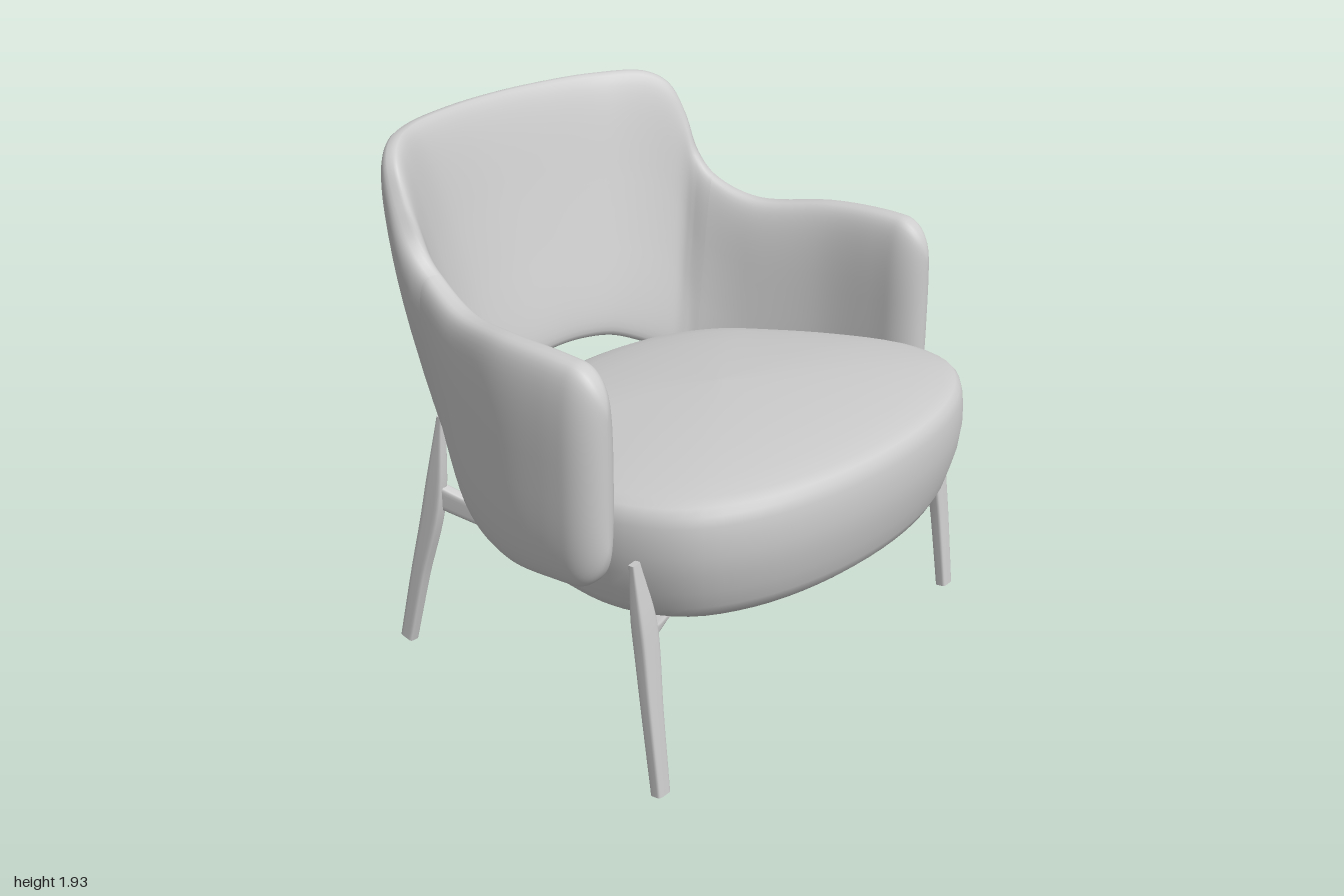
import * as THREE from 'three';

const V = (x, y, z) => new THREE.Vector3(x, y, z);
const grey = new THREE.MeshStandardMaterial({ color: 0xcccccc });
grey.name = 'light grey';

// Closed skin over a list of rings, with separate end caps
function loft(rings) {
  const n = rings[0].length, pos = [], idx = [];
  const push = (p) => pos.push(p.x, p.y, p.z);
  rings.forEach((r) => r.forEach(push));
  for (let i = 0; i < rings.length - 1; i++) {
    for (let j = 0; j < n; j++) {
      const k = (j + 1) % n, a = i * n, b = a + n;
      idx.push(a + j, a + k, b + k, a + j, b + k, b + j);
    }
  }
  [rings[0], rings[rings.length - 1]].forEach((r, end) => {
    const base = pos.length / 3;
    r.forEach(push);
    push(r.reduce((s, p) => s.add(p), V(0, 0, 0)).divideScalar(n));
    for (let j = 0; j < n; j++) {
      const k = (j + 1) % n;
      idx.push(base + n, base + (end ? j : k), base + (end ? k : j));
    }
  });
  // Turn the faces outward by the sign of the enclosed volume
  let volume = 0;
  const at = (i) => V(pos[3 * i], pos[3 * i + 1], pos[3 * i + 2]);
  for (let i = 0; i < idx.length; i += 3) {
    volume += at(idx[i]).dot(at(idx[i + 1]).cross(at(idx[i + 2])));
  }
  if (volume < 0) idx.reverse();
  const g = new THREE.BufferGeometry();
  g.setAttribute('position', new THREE.Float32BufferAttribute(pos, 3));
  g.setIndex(idx);
  g.computeVertexNormals();
  return g;
}

// Superellipse ring spanned by two half axes; bow bends it towards u
function ring(c, u, v, power, count, bow = 0) {
  const f = (t) => Math.sign(t) * Math.pow(Math.abs(t), 2 / power);
  return Array.from({ length: count }, (_, j) => {
    const a = ((j + 0.5) / count) * Math.PI * 2, h = f(Math.sin(a));
    return c.clone().addScaledVector(u, f(Math.cos(a)) + bow * (1 - h * h)).addScaledVector(v, h);
  });
}

// Bar along stations [x, y, z, halfWidth, halfDepth]; ref is the width direction
function bar(stations, ref, side) {
  const path = new THREE.CatmullRomCurve3(stations.map((s) => V(s[0] * side, s[1], s[2])));
  const size = new THREE.CatmullRomCurve3(stations.map((s) => V(s[3], s[4], 0)));
  const rings = [], N = 18;
  for (let i = 0; i <= N; i++) {
    const t = path.getTangent(i / N), s = size.getPoint(i / N);
    const u = ref.clone().addScaledVector(t, -ref.dot(t)).normalize();
    const v = t.clone().cross(u);
    rings.push(ring(path.getPoint(i / N), u.multiplyScalar(s.x), v.multiplyScalar(s.y), 5, 20));
  }
  return loft(rings);
}

// Shell stations, arm front to middle of back: top xyz, bottom xyz, half thickness, bow
const half = [
  [0.91, 1.46, 0.46, 0.915, 0.71, 0.46, 0.085, 0],
  [0.91, 1.475, 0.25, 0.912, 0.685, 0.25, 0.088, 0],
  [0.89, 1.472, 0.03, 0.88, 0.66, 0.03, 0.088, 0],
  [0.80, 1.45, -0.27, 0.765, 0.67, -0.25, 0.082, 0],
  [0.76, 1.52, -0.45, 0.64, 0.74, -0.43, 0.072, 0.1],
  [0.76, 1.60, -0.53, 0.60, 0.77, -0.47, 0.07, 0.2],
  [0.76, 1.74, -0.595, 0.56, 0.80, -0.505, 0.068, 0.3],
  [0.73, 1.86, -0.66, 0.50, 0.84, -0.54, 0.068, 0.35],
  [0.66, 1.91, -0.725, 0.43, 0.88, -0.57, 0.068, 0.4],
  [0.48, 1.918, -0.835, 0.30, 0.935, -0.605, 0.07, 0.4],
  [0.23, 1.918, -0.9, 0.15, 0.96, -0.63, 0.07, 0.4],
  [0, 1.918, -0.918, 0, 0.968, -0.635, 0.07, 0.4],
];
const mirrored = half.slice(0, -1).reverse().map(([x, y, z, u, ...rest]) => [-x, y, z, -u, ...rest]);
const full = [...half, ...mirrored];
const curve = (f) => new THREE.CatmullRomCurve3(full.map(f));
const topEdge = curve((s) => V(s[0], s[1], s[2]));
const lowEdge = curve((s) => V(s[3], s[4], s[5]));
const section = curve((s, i) => V(s[6], i, s[7]));
const seam = 4 / (full.length - 1);

function shellRing(t) {
  const mid = (q) => topEdge.getPoint(q).add(lowEdge.getPoint(q)).multiplyScalar(0.5);
  const c = mid(t);
  const along = mid(Math.min(1, t + 0.002)).sub(mid(Math.max(0, t - 0.002)));
  const up = topEdge.getPoint(t).sub(lowEdge.getPoint(t)).multiplyScalar(0.5);
  const out = along.cross(up).normalize();
  // Round off the free front end of each arm
  const d = c.z > 0 ? Math.min(1, Math.max(0, (0.46 - c.z) / 0.12)) : 1;
  const f = Math.sqrt(1 - (1 - d) ** 2);
  up.multiplyScalar(1 - 0.42 * (1 - f));
  const s = section.getPoint(t);
  return ring(c, out.multiplyScalar(s.x * f), up, 3, 48, s.z);
}

// Seat: plan outline shrunk and lifted through a cushion profile, tilted back
function seatGeometry() {
  const right = [[0.34, 0.92], [0.61, 0.825], [0.8, 0.67], [0.885, 0.42], [0.85, 0.15],
    [0.76, -0.13], [0.66, -0.34], [0.48, -0.49], [0.25, -0.56]];
  const plan = [[0, 0.955], ...right, [0, -0.577], ...right.slice().reverse().map(([x, z]) => [-x, z])];
  const outline = new THREE.CatmullRomCurve3(plan.map(([x, z]) => V(x, 0, z)), true).getPoints(80).slice(0, 80);
  const profile = [[0.01, 0.592], [0.5, 0.592], [0.83, 0.594], [0.88, 0.604], [0.92, 0.63], [0.945, 0.667],
    [0.968, 0.73], [0.99, 0.8], [1, 0.87], [0.999, 0.93], [0.993, 0.975], [0.982, 1.008],
    [0.96, 1.031], [0.91, 1.048], [0.8, 1.068], [0.6, 1.093], [0.3, 1.113], [0.01, 1.12]];
  return loft(profile.map(([k, h]) => outline.map((p) => {
    const z = 0.18 + (p.z - 0.18) * k;
    return V(p.x * k, h + 0.08 * (z - 0.95), z);
  })));
}

export function createModel() {
  const model = new THREE.Group();
  model.name = 'armchair';
  const add = (name, geometry) => {
    const m = new THREE.Mesh(geometry, grey);
    m.name = name;
    model.add(m);
    return m;
  };

  add('seatCushion', seatGeometry());

  // Wraparound shell: backrest between two arms
  const back = [];
  for (let i = 0; i <= 90; i++) back.push(shellRing(seam + (1 - 2 * seam) * (i / 90)));
  add('backrest', loft(back));

  for (const [side, label] of [[1, 'left'], [-1, 'right']]) {
    const arm = [];
    for (let i = 0; i <= 45; i++) {
      const t = seam * (i / 45) ** 1.8;
      arm.push(shellRing(side > 0 ? t : 1 - t));
    }
    add(label + 'Arm', loft(arm));

    // Front leg and its bracket
    add(label + 'FrontLeg', bar([[0.885, 0, 0.64, 0.03, 0.022], [0.88, 0.3, 0.603, 0.035, 0.025],
      [0.87, 0.58, 0.567, 0.041, 0.029], [0.89, 0.83, 0.542, 0.018, 0.012]], V(1, 0, 0), side));
    add(label + 'FrontBracket', bar([[0.87, 0.57, 0.56, 0.03, 0.035], [0.8, 0.56, 0.535, 0.03, 0.018],
      [0.71, 0.543, 0.49, 0.035, 0.012], [0.6, 0.54, 0.45, 0.05, 0.01]], V(0, 0, 1), side));

    // Rear leg and its bracket
    add(label + 'RearLeg', bar([[0.74, 0, -0.722, 0.022, 0.03], [0.725, 0.3, -0.65, 0.024, 0.034],
      [0.708, 0.6, -0.572, 0.024, 0.043], [0.69, 0.955, -0.527, 0.014, 0.012]], V(1, 0, 0), side));
    add(label + 'RearBracket', bar([[0.7, 0.64, -0.55, 0.022, 0.05], [0.62, 0.57, -0.39, 0.022, 0.042],
      [0.53, 0.495, -0.23, 0.03, 0.018], [0.46, 0.5, -0.08, 0.05, 0.01]], V(1, 0, 0), side));

    // Oval mounting pads under the seat
    for (const [name, x, y, z] of [['FrontPad', 0.57, 0.544, 0.44], ['RearPad', 0.45, 0.504, -0.06]]) {
      const pad = add(label + name, new THREE.CylinderGeometry(0.12, 0.115, 0.025, 32));
      pad.scale.set(1.15, 1, 0.85);
      pad.rotation.x = -0.08;
      pad.position.set(x * side, y, z);
    }
  }
  return model;
}
